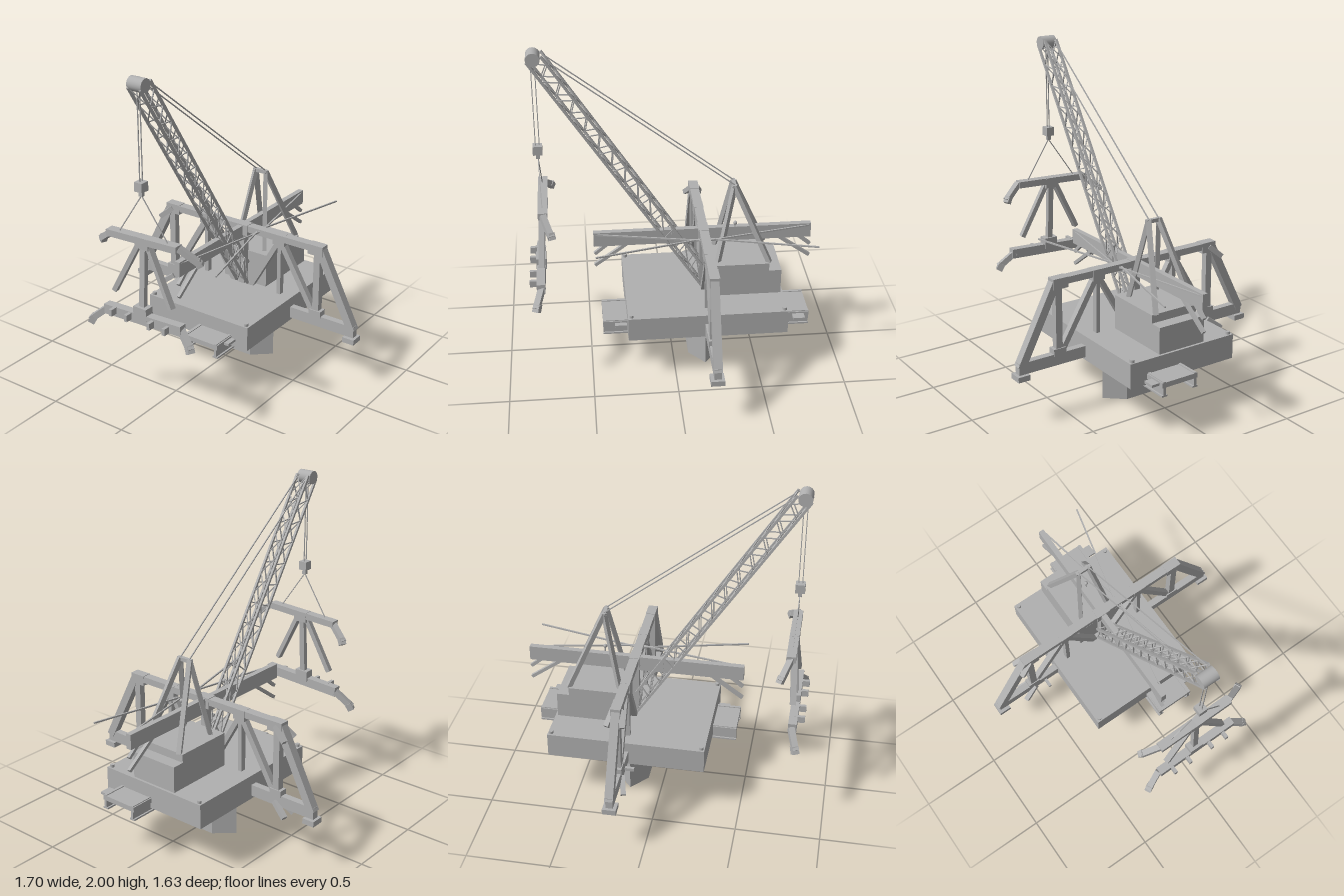
import * as THREE from 'three';

const steel = new THREE.MeshStandardMaterial({ color: 0xb0b0b0 });
steel.name = 'grey steel';

export function createModel() {
  const model = new THREE.Group();
  let parent = model;

  const section = (name) => {
    parent = new THREE.Group();
    parent.name = name;
    model.add(parent);
  };
  const add = (name, geometry) => {
    const mesh = new THREE.Mesh(geometry, steel);
    mesh.name = name;
    parent.add(mesh);
    return mesh;
  };
  // Box given by its limits on each axis
  const box = (name, x0, x1, y0, y1, z0, z1) =>
    add(name, new THREE.BoxGeometry(x1 - x0, y1 - y0, z1 - z0))
      .position.set((x0 + x1) / 2, (y0 + y1) / 2, (z0 + z1) / 2);
  // Square bar between two points: w is the level width, d the depth
  const bar = (name, a, b, w, d = w) => {
    const p = new THREE.Vector3(...a), q = new THREE.Vector3(...b);
    const mesh = add(name, new THREE.BoxGeometry(w, d, p.distanceTo(q)));
    mesh.position.copy(p).add(q).multiplyScalar(0.5);
    mesh.lookAt(q);
  };
  const sides = [-1, 1];

  // Pier with pointed ends
  section('pier');
  const plan = new THREE.Shape([[0.095, 0.12], [0.19, 0.23], [0.285, 0.12], [0.285, -0.12], [0.19, -0.23], [0.095, -0.12]]
    .map(([x, y]) => new THREE.Vector2(x, y)));
  const pier = add('pierShaft', new THREE.ExtrudeGeometry(plan, { depth: 0.28, bevelEnabled: false }));
  pier.rotation.x = -Math.PI / 2;

  // Barge, corner bollards and deckhouse
  section('barge');
  box('hull', -0.285, 0.665, 0.29, 0.44, -0.36, 0.36);
  for (const x of [-0.265, 0.645]) for (const z of [-0.337, 0.337])
    add('bollard', new THREE.CylinderGeometry(0.013, 0.013, 0.02, 12)).position.set(x, 0.447, z);
  box('deckhouse', 0.21, 0.575, 0.44, 0.65, -0.155, 0.155);
  box('engineHousing', 0.575, 0.65, 0.44, 0.6, -0.155, 0.155);

  // Floor girders passing under the barge
  section('floorGirders');
  for (const z of [0.025, 0.235]) {
    box('girderWeb', -0.43, 0.81, 0.275, 0.36, z - 0.008, z + 0.008);
    box('girderFlange', -0.43, 0.81, 0.27, 0.28, z - 0.018, z + 0.018);
  }
  box('floorPlate', -0.43, 0.81, 0.325, 0.355, 0.01, 0.25);
  box('endPlate', -0.36, -0.29, 0.33, 0.345, 0.24, 0.28);
  box('endPlate', 0.71, 0.78, 0.33, 0.345, 0.24, 0.3);

  // Main bridge truss along z
  section('mainTruss');
  const X = 0.192;
  box('topChord', 0.165, 0.22, 0.795, 0.835, -0.575, 0.575);
  box('bottomChord', 0.17, 0.212, 0.31, 0.38, -0.8, 0.8);
  box('centreGusset', 0.16, 0.222, 0.77, 0.838, -0.045, 0.045);
  bar('centrePost', [X, 0.35, 0], [X, 0.8, 0], 0.045, 0.04);
  for (const s of sides) {
    bar('endPost', [X, 0.35, s * 0.785], [X, 0.815, s * 0.55], 0.05, 0.05);
    bar('verticalPost', [X, 0.36, s * 0.535], [X, 0.8, s * 0.535], 0.04, 0.042);
    bar('innerPost', [X, 0.36, s * 0.27], [X, 0.8, s * 0.27], 0.035, 0.025);
    bar('diagonal', [X, 0.36, s * 0.53], [X, 0.8, s * 0.27], 0.035, 0.035);
    bar('innerDiagonal', [X, 0.36, s * 0.02], [X, 0.8, s * 0.27], 0.035, 0.03);
    box('lowerGusset', 0.166, 0.218, 0.37, 0.412, s * 0.535 - 0.04, s * 0.535 + 0.04);
    box('upperGusset', 0.163, 0.222, 0.775, 0.838, s * 0.525 - 0.05, s * 0.525 + 0.05);
    box('innerGusset', 0.163, 0.222, 0.77, 0.836, s * 0.27 - 0.04, s * 0.27 + 0.04);
    box('bearingPlate', 0.15, 0.23, 0.275, 0.308, s * 0.778 - 0.038, s * 0.778 + 0.038);
    // Splayed stubs at the back end
    bar('upperStub', [X + s * 0.02, 0.81, -0.53], [X + s * 0.045, 0.74, -0.61], 0.03);
    bar('lowerStub', [X + s * 0.02, 0.335, -0.53], [X + s * 0.045, 0.265, -0.62], 0.03);
  }
  box('sidePeg', 0.115, 0.17, 0.32, 0.34, -0.465, -0.447);

  // Cross beam, knee braces and top lateral rods, mirrored about the truss plane
  section('crossBeam');
  box('beam', -0.465, 0.845, 0.74, 0.832, -0.02, 0.014);
  for (const s of sides) {
    bar('longKneeBrace', [X + s * 0.46, 0.745, 0], [X + s * 0.652, 0.605, 0], 0.02);
    bar('shortKneeBrace', [X + s * 0.58, 0.745, 0], [X + s * 0.652, 0.685, 0], 0.02);
    bar('lateralRod', [X + s * 0.025, 0.818, 0.115], [X + s * 0.652, 0.818, 0.265], 0.009);
    bar('lateralRod', [X + s * 0.025, 0.818, 0.13], [X + s * 0.652, 0.818, 0.008], 0.009);
    add('knob', new THREE.SphereGeometry(0.012, 12, 8)).position.set(X + s * 0.19, 0.865, 0.02);
    bar('knobStem', [X + s * 0.19, 0.8, 0.018], [X + s * 0.19, 0.86, 0.018], 0.006);
  }

  // A-frame on the deckhouse, with stay cables to the boom tip
  section('gantry');
  for (const s of sides) {
    bar('rearLeg', [0.37, 1.125, s * 0.035], [0.578, 0.645, s * 0.13], 0.028);
    bar('frontLeg', [0.37, 1.125, s * 0.035], [0.272, 0.645, s * 0.1], 0.026);
    bar('stayCable', [0.37, 1.13, s * 0.033], [-0.72, 1.975, s * 0.033], 0.006);
  }
  bar('gantryHead', [0.37, 1.12, -0.05], [0.37, 1.12, 0.05], 0.022);

  // Lattice boom: four chords laced on every face
  section('boom');
  const along = (p, q, t) => p.map((v, i) => v + (q[i] - v) * t);
  const chord = (upper, s) => upper
    ? [[0.185, 0.585, s * 0.04], [-0.715, 1.98, s * 0.04]]
    : [[0.18, 0.445, s * 0.04], [-0.795, 1.945, s * 0.04]];
  for (const upper of [0, 1]) for (const s of sides) bar('boomChord', ...chord(upper, s), 0.014);
  const panels = 13;
  for (let i = 0; i < panels; i++) {
    const t0 = i / panels, t1 = (i + 1) / panels, tm = (t0 + t1) / 2;
    const at = (upper, s, t) => along(...chord(upper, s), t);
    for (const s of sides) {
      bar('sideLacing', at(0, s, t0), at(1, s, tm), 0.006);
      bar('sideLacing', at(1, s, tm), at(0, s, t1), 0.006);
      for (const upper of [0, 1]) bar('crossLacing', at(upper, s, t0), at(upper, -s, t1), 0.006);
    }
  }
  const sheave = add('sheave', new THREE.CylinderGeometry(0.04, 0.04, 0.095, 24));
  sheave.position.set(-0.76, 1.96, 0);
  sheave.rotation.x = Math.PI / 2;

  // Hoist ropes, block, hook and sling
  section('hoist');
  for (const s of sides) {
    bar('hoistRope', [-0.762 + s * 0.011, 1.42, 0], [-0.762 + s * 0.011, 1.95, 0], 0.005);
    bar('slingRope', [-0.762, 1.345, 0], [-0.752, 1.095, s * 0.17], 0.005);
  }
  box('hoistBlock', -0.79, -0.735, 1.372, 1.426, -0.026, 0.026);
  box('hook', -0.773, -0.751, 1.342, 1.372, -0.012, 0.012);

  // Suspended truss section, tilted slightly
  section('hangingTruss');
  bar('hangingTopChord', [-0.75, 1.09, 0.235], [-0.75, 1.07, -0.25], 0.055, 0.04);
  bar('hangingBottomChord', [-0.783, 0.63, 0.28], [-0.783, 0.605, -0.26], 0.05, 0.06);
  bar('hangingPost', [-0.752, 1.07, 0], [-0.78, 0.63, 0], 0.035, 0.03);
  box('hangingLowerGusset', -0.81, -0.75, 0.62, 0.69, -0.045, 0.045);
  box('hangingUpperGusset', -0.778, -0.722, 1.035, 1.1, -0.045, 0.045);
  for (const s of sides) {
    const tilt = s * 0.015;
    bar('hangingDiagonal', [-0.753, 1.06, s * 0.03], [-0.775, 0.73, s * 0.2], 0.035, 0.028);
    bar('topArm', [-0.75, 1.08 + tilt, s * 0.235], [-0.705, 1.0 + tilt, s * 0.345], 0.034);
    bar('topArmEnd', [-0.71, 1.02 + tilt, s * 0.325], [-0.7, 0.985 + tilt, s * 0.345], 0.036);
    bar('bottomArm', [-0.775, 0.62 + tilt, s * 0.255], [-0.815, 0.53 + tilt, s * 0.355], 0.036);
    bar('bottomArmEnd', [-0.805, 0.55 + tilt, s * 0.335], [-0.815, 0.51 + tilt, s * 0.355], 0.04);
  }
  for (const z of [-0.18, -0.07, 0.09, 0.195]) box('floorBeamStub', -0.85, -0.79, 0.6, 0.64, z - 0.01, z + 0.01);

  return model;
}
